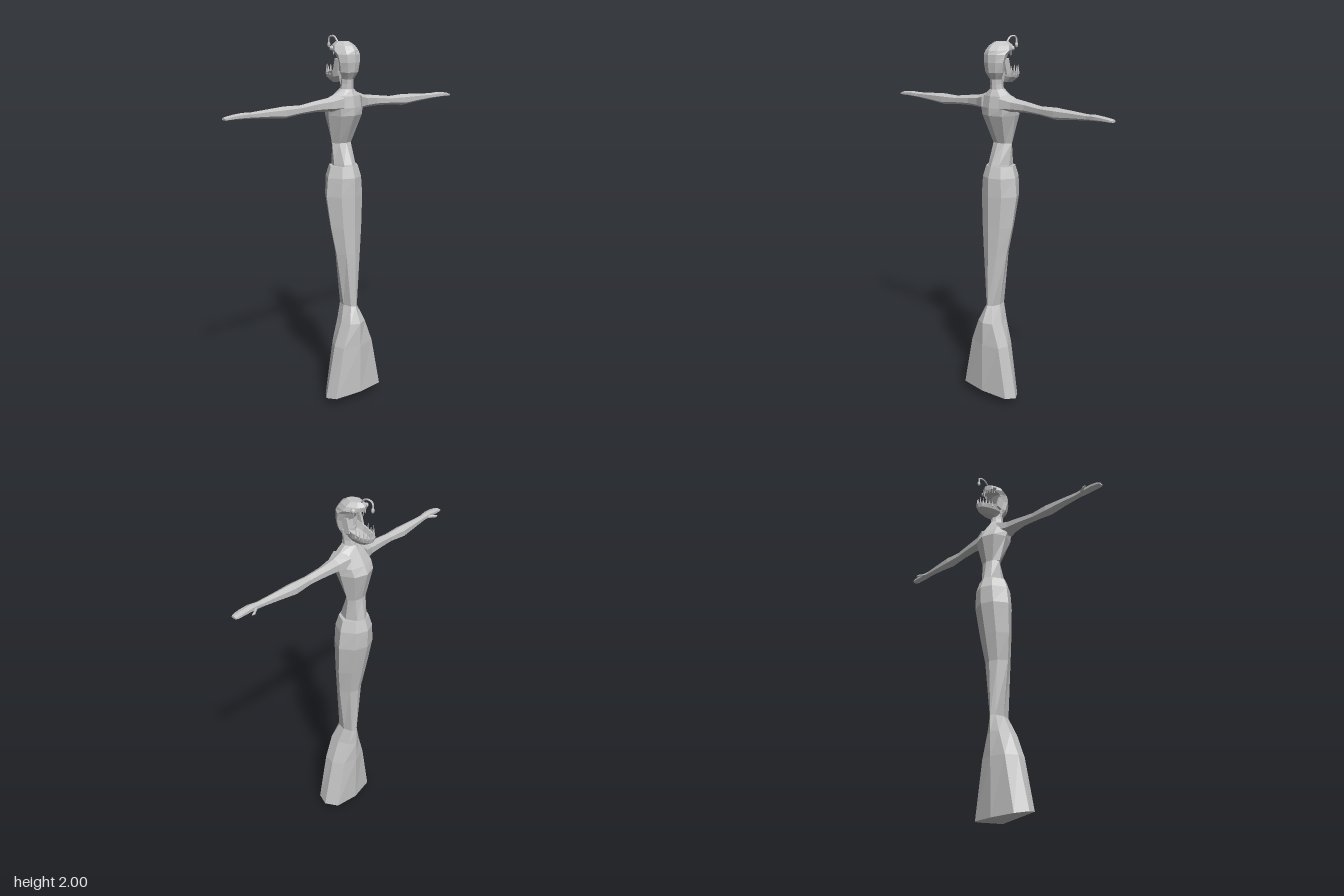
import * as THREE from 'three';

const V = (x, y, z) => new THREE.Vector3(x, y, z);

// Skin a list of equal-length rings; each end closes as a fan to an optional apex
function loft(rings, apexA, apexB) {
  const pos = [], n = rings[0].length;
  const tri = (...p) => p.forEach(v => pos.push(v.x, v.y, v.z));
  const mid = r => r.reduce((s, p) => s.add(p), V(0, 0, 0)).divideScalar(n);
  for (let k = 0; k < rings.length - 1; k++) {
    const a = rings[k], b = rings[k + 1];
    for (let i = 0; i < n; i++) {
      const j = (i + 1) % n;
      tri(a[i], a[j], b[j]);
      tri(a[i], b[j], b[i]);
    }
  }
  const first = rings[0], last = rings[rings.length - 1];
  const A = apexA || mid(first), B = apexB || mid(last);
  for (let i = 0; i < n; i++) {
    const j = (i + 1) % n;
    tri(A, first[j], first[i]);
    tri(B, last[i], last[j]);
  }
  const g = new THREE.BufferGeometry();
  g.setAttribute('position', new THREE.Float32BufferAttribute(pos, 3));
  g.computeVertexNormals();
  return g;
}

// Eight-sided horizontal section: half width, back z, front z,
// width share of the back and front facets, tilt from front to back
function section([y, w, zb, zf, bw = 0.62, fw = 0.6, tilt = 0]) {
  const d = zb - zf;
  const half = [[0, zb], [bw * w, zb - 0.13 * d], [w, zf + 0.5 * d], [fw * w, zf + 0.13 * d], [0, zf]];
  const all = [...half, ...half.slice(1, 4).reverse().map(([x, z]) => [-x, z])];
  return all.map(([x, z]) => V(x, y + tilt * (z - zf) / d, z));
}

export function createModel() {
  const skin = new THREE.MeshStandardMaterial({ color: 0xc4c4c4, flatShading: true });
  skin.name = 'grey skin';
  const model = new THREE.Group();
  const add = (name, geo) => {
    const m = new THREE.Mesh(geo, skin);
    m.name = name;
    model.add(m);
    return m;
  };

  // Tail fin and long tail
  add('tailFin', loft([
    [0.02, 0.18, 0.14, -0.03, 0.88, 0.75, 0.03],
    [0.33, 0.115, 0.136, -0.035, 0.88, 0.7],
    [0.46, 0.065, 0.133, -0.037, 0.8, 0.65],
    [0.55, 0.035, 0.095, -0.035],
  ].map(section), V(0, 0, 0.055)));
  add('tail', loft([
    [0.55, 0.035, 0.095, -0.035],
    [0.85, 0.076, 0.088, -0.045],
    [1.0, 0.1, 0.085, -0.075],
    [1.17, 0.115, 0.085, -0.11],
    [1.27, 0.104, 0.083, -0.112],
    [1.33, 0.085, 0.064, -0.092],
  ].map(section)));

  // Waist, ribcage and neck
  add('waist', loft([
    [1.28, 0.064, 0.078, -0.1],
    [1.34, 0.062, 0.06, -0.088],
    [1.45, 0.063, 0.012, -0.07],
  ].map(section)));
  add('torso', loft([
    [1.45, 0.066, 0.012, -0.07],
    [1.6, 0.1, 0.078, -0.105, 0.7, 0.7],
    [1.64, 0.105, 0.078, -0.085, 0.7, 0.7],
    [1.7, 0.09, 0.068, -0.048],
    [1.735, 0.038, 0.053, -0.027],
  ].map(section)));
  add('neck', loft([
    [1.71, 0.04, 0.053, -0.027],
    [1.76, 0.033, 0.054, -0.02],
    [1.83, 0.036, 0.056, -0.02],
  ].map(section)));

  // Arms with hands and thumbs: x, centre y, half height, centre z, half depth
  const armRows = [
    [0.06, 1.667, 0.05, 0.01, 0.06], [0.12, 1.66, 0.035, 0.008, 0.038],
    [0.2, 1.657, 0.028, 0.006, 0.027], [0.3, 1.65, 0.023, 0.013, 0.023],
    [0.4, 1.646, 0.03, 0.014, 0.029], [0.5, 1.649, 0.022, 0.018, 0.022],
    [0.6, 1.651, 0.015, 0.024, 0.017], [0.65, 1.654, 0.015, 0.028, 0.021],
    [0.7, 1.653, 0.012, 0.028, 0.022], [0.735, 1.65, 0.01, 0.028, 0.02],
    [0.75, 1.648, 0.006, 0.028, 0.015],
  ];
  const thumbRows = [
    [0.63, 1.65, 0.008, 0.014, 0.009], [0.65, 1.649, 0.008, 0.0, 0.008],
    [0.664, 1.648, 0.007, -0.012, 0.006], [0.68, 1.648, 0.004, -0.016, 0.003],
  ];
  const limb = (rows, s) => loft(rows.map(([x, y, ry, z, rz]) =>
    Array.from({ length: 6 }, (_, i) => {
      const a = s * i * Math.PI / 3;
      return V(s * x, y + ry * Math.cos(a), z + rz * Math.sin(a) * 1.12);
    })));
  for (const s of [1, -1]) {
    const side = s > 0 ? 'left' : 'right';
    add(side + 'Arm', limb(armRows, s));
    add(side + 'Thumb', limb(thumbRows, s));
  }

  // Skull with the face cut back above the open mouth
  add('skull', loft([
    [1.785, 0.035, 0.056, -0.012],
    [1.82, 0.055, 0.077, -0.012, 0.62, 0.7],
    [1.87, 0.064, 0.083, -0.005, 0.62, 0.75],
    [1.91, 0.069, 0.082, -0.025, 0.62, 0.75],
    [1.93, 0.068, 0.077, -0.08, 0.62, 0.6],
    [1.952, 0.056, 0.058, -0.085, 0.62, 0.6],
    [1.972, 0.03, 0.025, -0.062],
  ].map(section)));

  // Hollow lower jaw: outer wall, rim, then the mouth floor
  const jawRing = (y, w, back, front, lift) => {
    const half = [[0, 0], [0.8, 0.02], [1, 0.35], [0.85, 0.7], [0.45, 0.94], [0, 1]];
    const all = [...half, ...half.slice(1, 5).reverse().map(([x, t]) => [-x, t])];
    return all.map(([x, t]) => V(x * w, y + lift * (1 - t) ** 2, back + (front - back) * t));
  };
  add('lowerJaw', loft([
    jawRing(1.762, 0.024, 0.0, -0.095, 0.01),
    jawRing(1.785, 0.045, 0.012, -0.135, 0.02),
    jawRing(1.808, 0.052, 0.012, -0.142, 0.045),
    jawRing(1.808, 0.044, 0.004, -0.13, 0.045),
    jawRing(1.788, 0.036, 0.0, -0.115, 0.03),
  ]));

  // Needle teeth along both jaws
  const tooth = (name, x, y, z, h, r) => {
    const g = new THREE.ConeGeometry(r, Math.abs(h), 5);
    if (h < 0) g.rotateX(Math.PI);
    add(name, g.translate(x, y + h / 2, z));
  };
  for (let i = 0; i < 11; i++) {
    const a = (i / 10 - 0.5) * Math.PI * 0.95;
    tooth('lowerTooth', 0.044 * Math.sin(a), 1.803, -0.06 - 0.074 * Math.cos(a), 0.054 - 0.012 * (i % 2), 0.006);
  }
  for (let i = 0; i < 9; i++) {
    const a = (i / 8 - 0.5) * Math.PI * 0.8;
    tooth('upperTooth', 0.04 * Math.sin(a), 1.936, -0.028 - 0.047 * Math.cos(a), -0.036 + 0.008 * (i % 2), 0.005);
  }

  // Eyes, jaw hinges and hanging gill flaps
  for (const s of [1, -1]) {
    add('eye', new THREE.SphereGeometry(0.012, 8, 6).translate(s * 0.047, 1.938, -0.05));
    add('jawHinge', new THREE.BoxGeometry(0.014, 0.075, 0.034).rotateX(0.25).translate(s * 0.048, 1.85, -0.008));
    add('gillFlap', new THREE.ConeGeometry(0.016, 0.07, 4).rotateX(Math.PI).translate(s * 0.04, 1.79, 0.012));
  }

  // Lure stalk and hanging bulb
  const stalk = new THREE.CatmullRomCurve3([
    V(0, 1.955, -0.05), V(0, 1.978, -0.068), V(0, 1.993, -0.085),
    V(0, 1.995, -0.115), V(0, 1.985, -0.13), V(0, 1.96, -0.132),
  ]);
  add('lureStalk', new THREE.TubeGeometry(stalk, 12, 0.005, 5));
  add('lureBulb', new THREE.SphereGeometry(0.009, 6, 5).scale(1, 1.6, 1).translate(0, 1.95, -0.132));

  return model;
}
